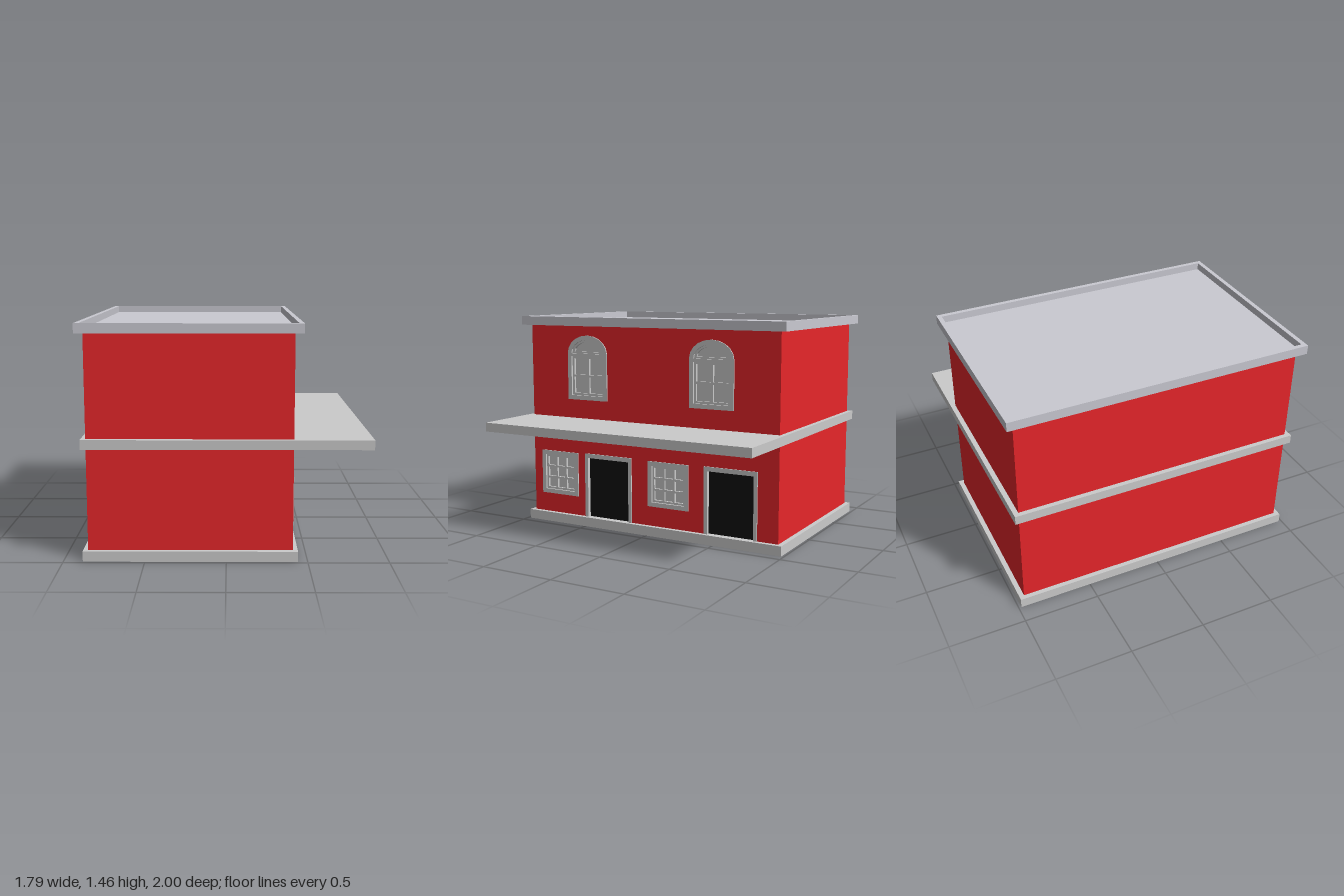
import * as THREE from 'three';

const mat = (color) => new THREE.MeshStandardMaterial({ color, flatShading: true });
const grey = mat(0xcccccc), roofGrey = mat(0xcacad2), red = mat(0xe8262a), black = mat(0x101010);

const WALL = { x0: -0.85, x1: 0.41, z: 0.95, top: 1.41, thick: 0.03 };

// Closed outlines as lists of points
const rect = (a, b, c, d) =>
  [[a, c], [b, c], [b, d], [a, d]].map(([x, y]) => new THREE.Vector2(x, y));

// Half ellipse from right to left, optionally standing on straight sides
function arch(cx, base, spring, rx, ry, n = 10) {
  const pts = base < spring
    ? [new THREE.Vector2(cx - rx, base), new THREE.Vector2(cx + rx, base)] : [];
  for (let i = 0; i <= n; i++) {
    const t = (i / n) * Math.PI;
    pts.push(new THREE.Vector2(cx + rx * Math.cos(t), spring + ry * Math.sin(t)));
  }
  return pts;
}

function add(parent, name, geometry, material) {
  const mesh = new THREE.Mesh(geometry, material);
  mesh.name = name;
  parent.add(mesh);
  return mesh;
}

// Plate with holes, extruded along z from d0 to d1
function plate(parent, name, outline, holes, d0, d1, material) {
  const shape = new THREE.Shape(outline);
  shape.holes = holes.map((h) => new THREE.Path(h));
  const geo = new THREE.ExtrudeGeometry(shape, { depth: d1 - d0, bevelEnabled: false });
  geo.translate(0, 0, d0);
  return add(parent, name, geo, material);
}

// Horizontal ring or slab between two heights
function slab(parent, name, outline, holes, y0, y1, material) {
  const mesh = plate(parent, name, outline, holes, y0, y1, material);
  mesh.geometry.rotateX(-Math.PI / 2);
  return mesh;
}

function box(parent, name, x0, x1, y0, y1, z0, z1, material) {
  const geo = new THREE.BoxGeometry(x1 - x0, y1 - y0, z1 - z0);
  geo.translate((x0 + x1) / 2, (y0 + y1) / 2, (z0 + z1) / 2);
  return add(parent, name, geo, material);
}

// Pane openings of a sash divided into n columns and m rows
function paneGrid(u0, u1, y0, y1, n, m, bar) {
  const holes = [], w = (u1 - u0 - bar * (n + 1)) / n, h = (y1 - y0 - bar * (m + 1)) / m;
  for (let i = 0; i < n; i++) {
    for (let j = 0; j < m; j++) {
      const a = u0 + bar + i * (w + bar), b = y0 + bar + j * (h + bar);
      holes.push(rect(a, a + w, b, b + h));
    }
  }
  return holes;
}

function squareWindow(parent, c) {
  const g = new THREE.Group();
  g.name = 'squareWindow';
  const inner = rect(c - 0.125, c + 0.125, 0.23, 0.48);
  plate(g, 'windowFrame', rect(c - 0.155, c + 0.155, 0.2, 0.51), [inner], -0.03, 0.008, grey);
  plate(g, 'windowSash', inner, paneGrid(c - 0.125, c + 0.125, 0.23, 0.48, 3, 3, 0.014), -0.025, -0.006, grey);
  box(g, 'windowPane', c - 0.125, c + 0.125, 0.23, 0.48, -0.03, -0.022, grey);
  parent.add(g);
}

function archedWindow(parent, c) {
  const g = new THREE.Group();
  g.name = 'archedWindow';
  const lower = rect(c - 0.13, c + 0.13, 0.92, 1.19);
  const upper = arch(c, 1.21, 1.21, 0.13, 0.095);
  plate(g, 'windowFrame', arch(c, 0.89, 1.21, 0.16, 0.125), [lower, upper], -0.03, 0.008, grey);
  plate(g, 'windowSash', lower, paneGrid(c - 0.13, c + 0.13, 0.92, 1.19, 2, 2, 0.015), -0.025, -0.006, grey);
  plate(g, 'fanlightSash', upper, [arch(c, 1.222, 1.222, 0.112, 0.068)], -0.025, -0.006, grey);
  plate(g, 'windowPane', arch(c, 0.92, 1.21, 0.13, 0.095), [], -0.03, -0.022, grey);
  parent.add(g);
}

function door(parent, c) {
  const g = new THREE.Group();
  g.name = 'door';
  const outline = [[-0.19, 0.06], [-0.165, 0.06], [-0.165, 0.485], [0.165, 0.485],
    [0.165, 0.06], [0.19, 0.06], [0.19, 0.515], [-0.19, 0.515]]
    .map(([x, y]) => new THREE.Vector2(c + x, y));
  plate(g, 'doorFrame', outline, [], -0.03, 0.008, grey);
  box(g, 'doorPanel', c - 0.165, c + 0.165, 0.06, 0.485, -0.03, -0.018, black);
  parent.add(g);
}

export function createModel() {
  const model = new THREE.Group();
  model.name = 'building';
  const { x0, x1, z, top, thick: t } = WALL;

  // Plain walls: front, back and left-hand side
  box(model, 'frontWall', x0, x1, 0.03, top, z - t, z, red);
  box(model, 'backWall', x0, x1, 0.03, top, -z, -z + t, red);
  box(model, 'sideWall', x0, x0 + t, 0.03, top, -z + t, z - t, red);

  // Entrance wall, laid out along u = -z and turned to face +x
  const facade = new THREE.Group();
  facade.name = 'entranceSide';
  facade.rotation.y = Math.PI / 2;
  facade.position.x = x1;
  model.add(facade);
  const doors = [-0.32, 0.615], squares = [-0.725, 0.155], arches = [-0.48, 0.475];
  const openings = [
    ...doors.map((c) => rect(c - 0.18, c + 0.18, 0.05, 0.5)),
    ...squares.map((c) => rect(c - 0.14, c + 0.14, 0.215, 0.495)),
    ...arches.map((c) => arch(c, 0.905, 1.21, 0.145, 0.11)),
  ];
  plate(facade, 'entranceWall', rect(-z + t, z - t, 0.03, top), openings, -t, 0, red);
  // Corner ends of the entrance wall are closed by the front and back walls
  doors.forEach((c) => door(facade, c));
  squares.forEach((c) => squareWindow(facade, c));
  arches.forEach((c) => archedWindow(facade, c));

  // Open plinth, and the floor band that reaches out as a canopy
  const inside = () => rect(x0 + 0.055, x1 - 0.055, -z + 0.055, z - 0.055);
  slab(model, 'plinth', rect(-0.88, 0.44, -0.982, 0.982), [inside()], 0, 0.065, grey);
  slab(model, 'canopyBand', rect(-0.88, 0.893, -0.982, 0.982), [inside()], 0.7, 0.76, grey);

  // Roof deck with a raised rim
  slab(model, 'roofRim', rect(-0.897, 0.46, -1, 1), [rect(-0.867, 0.43, -0.97, 0.97)], 1.4, 1.46, roofGrey);
  box(model, 'roofDeck', -0.867, 0.43, 1.4, 1.413, -0.97, 0.97, roofGrey);
  return model;
}
